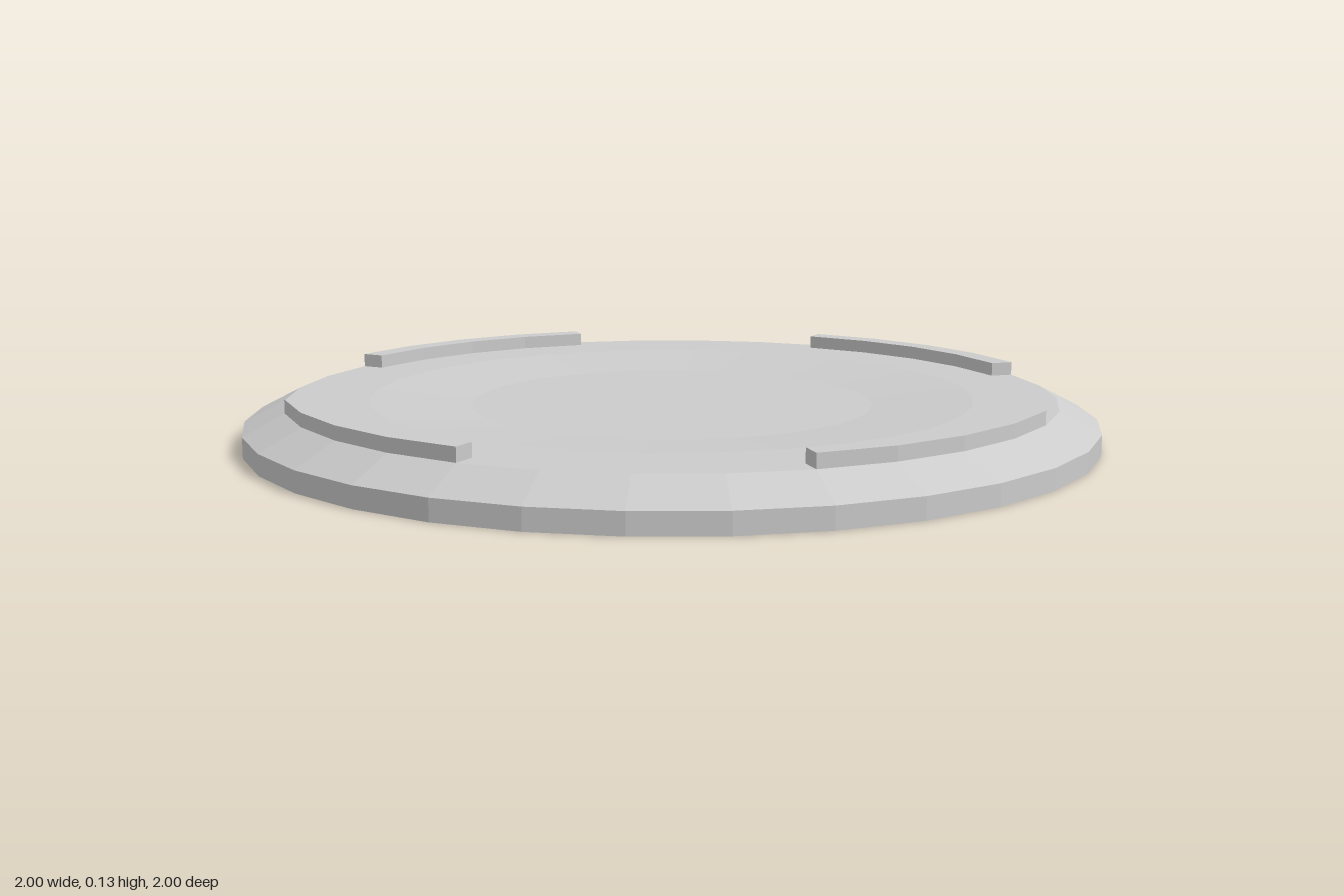
import * as THREE from 'three';

const SIDES = 32;
const STEP = (Math.PI * 2) / SIDES;
const RIM = 0.905;   // radius of the top face and of the ridges
const TOP = 0.097;   // height of the top face

export function createModel() {
  const model = new THREE.Group();
  model.name = 'roundPlate';
  const material = new THREE.MeshStandardMaterial({ color: 0xcccccc, flatShading: true });

  // Disc with a bevelled rim and a shallow dished centre
  const profile = [
    [0, 0], [1, 0], [1, 0.048], [RIM, TOP], [0.71, TOP], [0.475, TOP - 0.02], [0, TOP - 0.02],
  ].map(([r, y]) => new THREE.Vector2(r, y));
  const plate = new THREE.Mesh(new THREE.LatheGeometry(profile, SIDES), material);
  plate.name = 'plate';
  model.add(plate);

  // Curved ridge cross-section: outer arc forward, inner arc back
  const arc = (radius) => [-2, -1, 0, 1, 2].map((i) =>
    new THREE.Vector2(radius * Math.cos(i * STEP), radius * Math.sin(i * STEP)));
  const shape = new THREE.Shape([...arc(RIM), ...arc(0.85).reverse()]);
  const ridgeGeometry = new THREE.ExtrudeGeometry(shape, { depth: 0.032, bevelEnabled: false });
  ridgeGeometry.rotateX(-Math.PI / 2);

  // Four ridges spaced evenly around the top
  ['left', 'back', 'right', 'front'].forEach((side, i) => {
    const ridge = new THREE.Mesh(ridgeGeometry, material);
    ridge.name = side + 'Ridge';
    ridge.position.y = TOP;
    ridge.rotation.y = (i * Math.PI) / 2;
    model.add(ridge);
  });

  return model;
}
